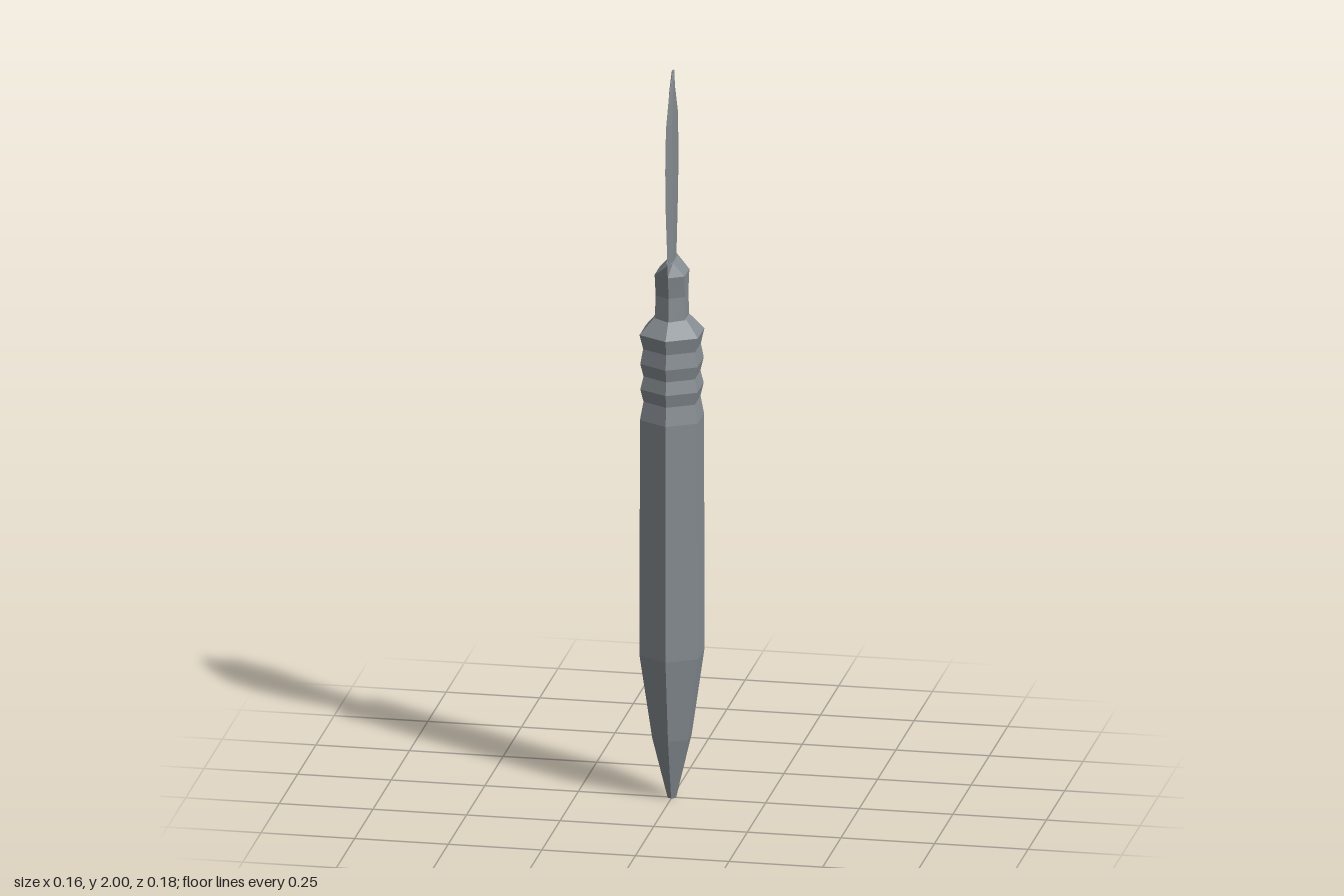
import * as THREE from 'three';

// Closed, flat-shaded skin through rings of [x, y, z] points (each ring runs +z, +x, -z, -x)
function loft(rings) {
  const pos = [];
  const tri = (a, b, c) => pos.push(...a, ...b, ...c);
  const n = rings[0].length;
  for (let i = 0; i < rings.length - 1; i++) {
    for (let j = 0; j < n; j++) {
      const k = (j + 1) % n;
      const a = rings[i][j], b = rings[i][k], c = rings[i + 1][k], d = rings[i + 1][j];
      tri(a, b, c);
      tri(a, c, d);
    }
  }
  const bottom = rings[0], top = rings[rings.length - 1];
  for (let j = 1; j < n - 1; j++) {
    tri(bottom[0], bottom[j + 1], bottom[j]);
    tri(top[0], top[j], top[j + 1]);
  }
  const g = new THREE.BufferGeometry();
  g.setAttribute('position', new THREE.Float32BufferAttribute(pos, 3));
  g.computeVertexNormals();
  return g;
}

// Six-sided ring: x half width, z half length of the side faces, z of the end corners
const hexRing = (y, x, zSide, zEnd) => [
  [0, y, zEnd], [x, y, zSide], [x, y, -zSide],
  [0, y, -zEnd], [-x, y, -zSide], [-x, y, zSide],
];
const regularHex = (y, r) => hexRing(y, r * Math.sqrt(3) / 2, r / 2, r);

// Blade section: sharp edges at zFront and zBack, thicker along the middle
function bladeRing([y, zFront, zBack, t]) {
  const mid = (zFront + zBack) / 2, w = (zFront - zBack) * 0.17;
  return [
    [0, y, zFront], [t, y, mid + w], [t, y, mid - w],
    [0, y, zBack], [-t, y, mid - w], [-t, y, mid + w],
  ];
}

export function createModel() {
  const steel = new THREE.MeshStandardMaterial({ color: 0x868d92 });
  steel.name = 'greySteel';
  const model = new THREE.Group();
  model.name = 'craftKnife';
  const add = (name, geometry) => {
    const mesh = new THREE.Mesh(geometry, steel);
    mesh.name = name;
    model.add(mesh);
  };

  // Hexagonal handle, pointed at the bottom
  add('handle', loft([
    [0, 0.012], [0.17, 0.055], [0.4, 0.09], [1.05, 0.089],
  ].map(([y, r]) => regularHex(y, r))));

  // Ribbed grip and shoulder
  add('grip', loft([
    [1.05, 0.089], [1.1, 0.079], [1.135, 0.088], [1.17, 0.079],
    [1.205, 0.088], [1.245, 0.08], [1.285, 0.09], [1.33, 0.048],
  ].map(([y, r]) => regularHex(y, r))));

  // Neck with a sloped clamp around the blade
  add('neck', loft([
    hexRing(1.32, 0.041, 0.027, 0.052),
    hexRing(1.39, 0.039, 0.024, 0.046),
    hexRing(1.45, 0.04, 0.033, 0.057),
    hexRing(1.485, 0.009, 0.033, 0.058),
  ]));

  // Leaf-shaped blade with an off-centre tip
  add('blade', loft([
    [1.4, 0.046, -0.046, 0.007], [1.45, 0.057, -0.057, 0.007],
    [1.64, 0.086, -0.082, 0.008], [1.755, 0.093, -0.09, 0.008],
    [1.87, 0.083, -0.08, 0.007], [1.95, 0.04, -0.041, 0.005],
    [2.0, -0.006, -0.026, 0.003],
  ].map(bladeRing)));

  return model;
}
